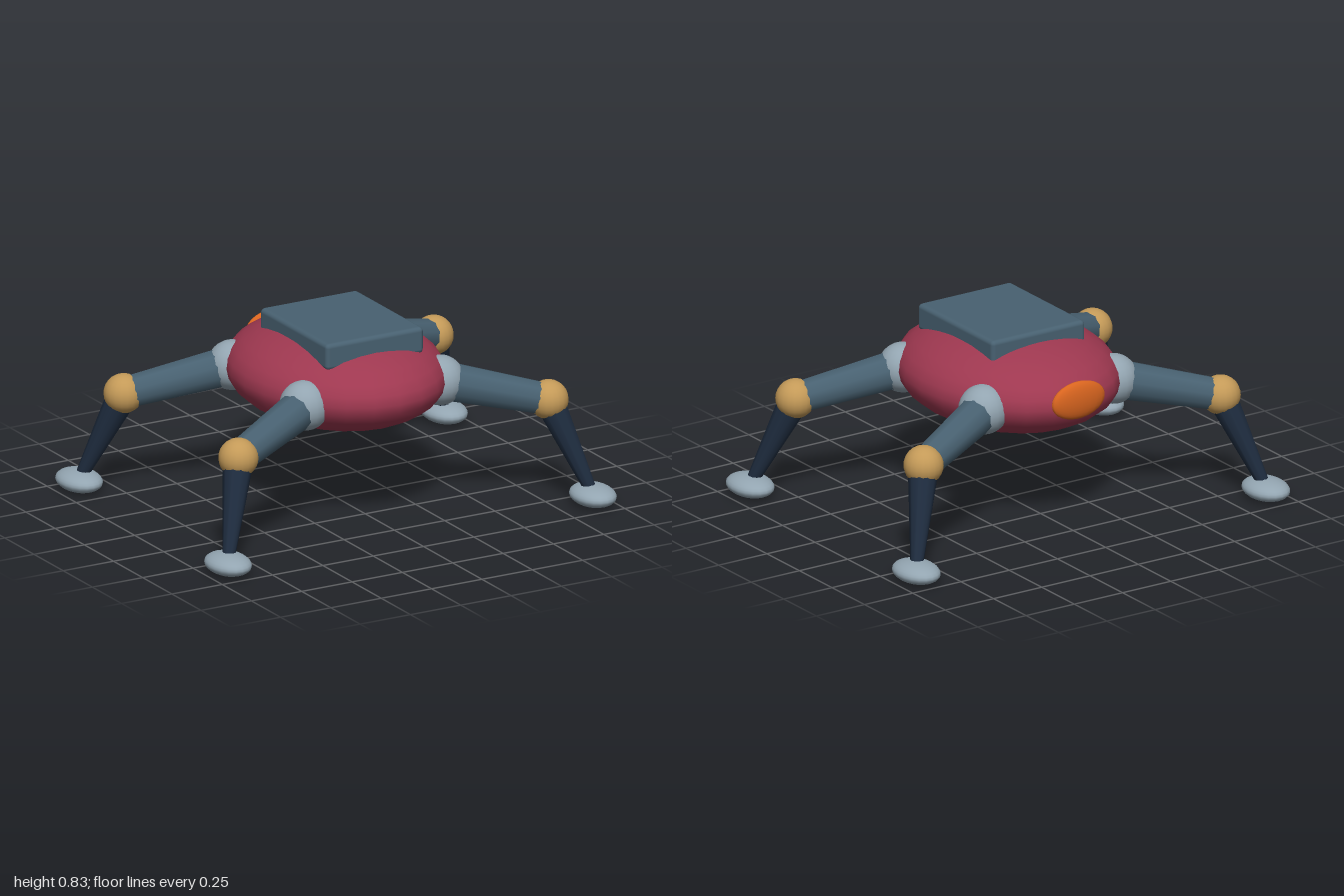
import * as THREE from 'three';
import { RoundedBoxGeometry } from 'three/addons/geometries/RoundedBoxGeometry.js';

const paint = (name, color) => {
  const m = new THREE.MeshStandardMaterial({ color });
  m.name = name;
  return m;
};

export function createModel() {
  const model = new THREE.Group();
  model.name = 'walker';
  const crimson = paint('crimson', 0x9e3850);
  const slate = paint('slate', 0x486171);
  const navy = paint('navy', 0x1f2d40);
  const brass = paint('brass', 0xc49a58);
  const steel = paint('steel', 0x93a5b1);
  const orange = paint('orange', 0xd9651f);

  const add = (parent, name, geometry, material) => {
    const mesh = new THREE.Mesh(geometry, material);
    mesh.name = name;
    parent.add(mesh);
    return mesh;
  };
  const ellipsoid = (parent, name, material, center, radii, w = 20, h = 14) => {
    const mesh = add(parent, name, new THREE.SphereGeometry(1, w, h), material);
    mesh.position.copy(center);
    mesh.scale.set(...radii);
    return mesh;
  };
  // Tapered limb from point a to point b
  const limb = (parent, name, material, a, b, ra, rb) => {
    const dir = b.clone().sub(a);
    const mesh = add(parent, name, new THREE.CylinderGeometry(rb, ra, dir.length(), 10), material);
    mesh.position.copy(a).add(b).multiplyScalar(0.5);
    mesh.quaternion.setFromUnitVectors(new THREE.Vector3(0, 1, 0), dir.normalize());
  };
  const v = (x, y, z) => new THREE.Vector3(x, y, z);

  // Body, back plate and rear sensor
  ellipsoid(model, 'body', crimson, v(0, 0.588, 0), [0.455, 0.22, 0.557], 24, 16);
  add(model, 'topPlate', new RoundedBoxGeometry(0.485, 0.12, 0.58, 2, 0.02), slate)
    .position.set(0, 0.776, 0.05);
  ellipsoid(model, 'sensor', orange, v(0, 0.615, -0.54), [0.137, 0.085, 0.031]);

  // Four mirrored legs
  for (const sx of [1, -1]) {
    for (const sz of [1, -1]) {
      const leg = new THREE.Group();
      leg.name = (sz > 0 ? 'front' : 'back') + (sx > 0 ? 'Left' : 'Right') + 'Leg';
      model.add(leg);
      const hip = v(0.335 * sx, 0.572, 0.31 * sz);
      const knee = v(0.77 * sx, 0.463, 0.492 * sz);
      const foot = v(0.906 * sx, 0.05, 0.638 * sz);
      ellipsoid(leg, 'hip', steel, hip, [0.11, 0.11, 0.11]);
      limb(leg, 'upperLeg', slate, hip, knee, 0.088, 0.07);
      ellipsoid(leg, 'knee', brass, knee, [0.087, 0.087, 0.087]);
      limb(leg, 'lowerLeg', navy, knee, foot, 0.068, 0.025);
      ellipsoid(leg, 'foot', steel, foot, [0.094, 0.047, 0.127]);
    }
  }
  return model;
}
